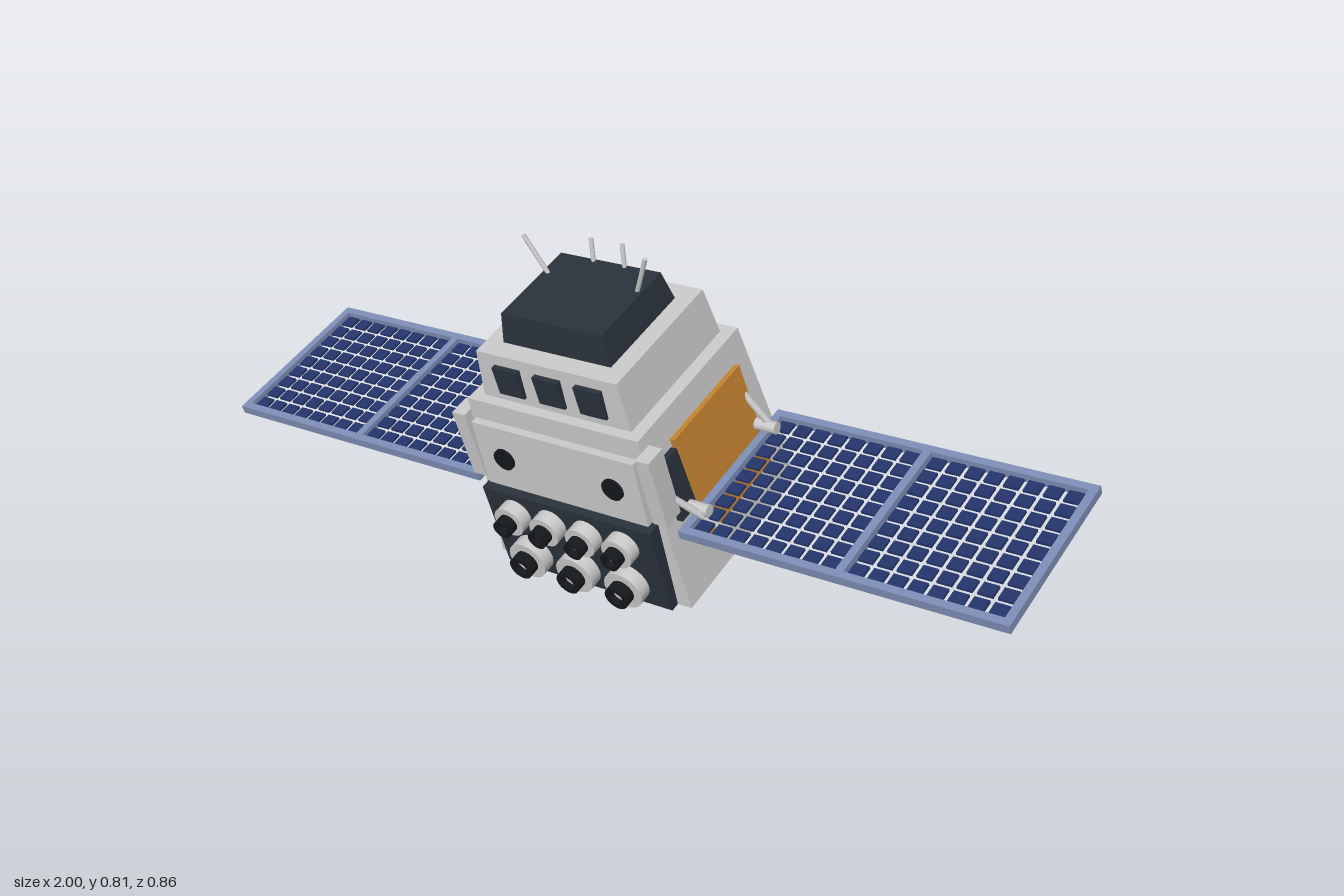
import * as THREE from 'three';
import { mergeGeometries } from 'three/addons/utils/BufferGeometryUtils.js';

const mat = (color, extra = {}) => new THREE.MeshStandardMaterial({ color, ...extra });
const GREY = mat(0xcccccc);
const DARK = mat(0x2a323c);
const BLACK = mat(0x15181c);
const ORANGE = mat(0xc88530);
const FRAME = mat(0x7f8fb8);
const CELL = mat(0x24356b);

function add(parent, name, geometry, material, x = 0, y = 0, z = 0) {
  const mesh = new THREE.Mesh(geometry, material);
  mesh.name = name;
  mesh.position.set(x, y, z);
  parent.add(mesh);
  return mesh;
}

const box = (w, h, d) => new THREE.BoxGeometry(w, h, d);

// Box standing on y = y0 whose top is smaller than its base (half sizes)
function frustum(bx, bz, tx, tz, y0, y1) {
  const g = box(2, y1 - y0, 2).translate(0, (y0 + y1) / 2, 0);
  const p = g.attributes.position;
  for (let i = 0; i < p.count; i++) {
    const top = p.getY(i) > (y0 + y1) / 2;
    p.setX(i, p.getX(i) * (top ? tx : bx));
    p.setZ(i, p.getZ(i) * (top ? tz : bz));
  }
  g.computeVertexNormals();
  return g;
}

// Round rod between two points
function rod(parent, name, a, b, r, material = GREY) {
  const from = new THREE.Vector3(...a), to = new THREE.Vector3(...b);
  const dir = to.clone().sub(from);
  const mesh = add(parent, name, new THREE.CylinderGeometry(r, r, dir.length(), 10), material);
  mesh.position.copy(from).add(to).multiplyScalar(0.5);
  mesh.quaternion.setFromUnitVectors(new THREE.Vector3(0, 1, 0), dir.normalize());
  return mesh;
}

// Camera-like sensor: pale collar, dark barrel and a recessed pale lens, pointing to +z
function sensor(parent, x, y, r) {
  const g = new THREE.Group();
  g.name = 'sensor';
  g.position.set(x, y, 0.235);
  parent.add(g);
  add(g, 'collar', new THREE.CylinderGeometry(r, r, 0.035, 20).rotateX(Math.PI / 2), GREY, 0, 0, 0.015);
  const k = r * 0.6;
  const profile = [[k, 0.03], [k, 0.058], [k * 0.65, 0.058], [k * 0.65, 0.04]].map(p => new THREE.Vector2(...p));
  // straight walls, shaded flat across each profile corner
  const barrel = new THREE.LatheGeometry(profile, 20).rotateX(Math.PI / 2).toNonIndexed();
  barrel.computeVertexNormals();
  add(g, 'barrel', barrel, mat(0x15181c, { side: THREE.DoubleSide }));
  add(g, 'lens', new THREE.CircleGeometry(k * 0.65, 20), GREY, 0, 0, 0.042);
}

// Framed wing with two bays of separate cells
function solarWing(parent, s) {
  const g = new THREE.Group();
  g.name = s > 0 ? 'leftSolarWing' : 'rightSolarWing';
  g.position.y = 0.2;
  parent.add(g);
  const x0 = 0.265, x1 = 1, half = 0.2, rail = 0.018, t = 0.02;
  const mid = (x0 + x1) / 2;
  for (const z of [-1, 1])
    add(g, 'longRail', box(x1 - x0, t, rail), FRAME, s * mid, 0, z * (half - rail / 2));
  for (const x of [x0 + rail / 2, mid, x1 - rail / 2])
    add(g, 'crossRail', box(rail, t, 2 * half - 2 * rail), FRAME, s * x, 0, 0);
  const cols = 8, rows = 9, gap = 0.01, cells = [];
  const bay = mid - x0 - 1.5 * rail;
  const px = bay / cols, pz = (2 * half - 2 * rail) / rows;
  for (const start of [x0 + rail, mid + rail / 2])
    for (let i = 0; i < cols; i++)
      for (let j = 0; j < rows; j++)
        cells.push(box(px - gap, 0.006, pz - gap)
          .translate(s * (start + (i + 0.5) * px), 0, -half + rail + (j + 0.5) * pz));
  add(g, 'solarCells', mergeGeometries(cells), CELL);
}

export function createModel() {
  const model = new THREE.Group();
  model.name = 'satellite';
  const craft = new THREE.Group();
  craft.name = 'craft';
  model.add(craft);

  // Stacked tapered body
  add(craft, 'mainBody', frustum(0.255, 0.215, 0.22, 0.19, 0, 0.428), GREY);
  add(craft, 'upperBody', frustum(0.19, 0.168, 0.18, 0.16, 0.428, 0.541), GREY);
  add(craft, 'topCap', frustum(0.138, 0.118, 0.128, 0.108, 0.541, 0.611), DARK);

  // Windows of the upper body
  for (const i of [-1, 0, 1])
    add(craft, 'window', box(0.066, 0.068, 0.02), DARK, i * 0.105, 0.482, 0.163);

  // Front plate with two round ports
  const plate = add(craft, 'frontPlate', box(0.42, 0.16, 0.03), GREY, -0.002, 0.3, 0.2);
  plate.rotation.x = -0.058;
  for (const s of [-1, 1])
    add(plate, 'port', new THREE.CylinderGeometry(0.026, 0.026, 0.014, 20).rotateX(Math.PI / 2),
      BLACK, s * 0.142, 0, 0.014);

  // Dark instrument panel with two rows of sensors
  add(craft, 'instrumentPanel', box(0.44, 0.217, 0.05), DARK, 0, 0.1085, 0.211);
  for (let i = 0; i < 4; i++) sensor(craft, (i - 1.5) * 0.095, 0.164, 0.037);
  for (let i = 0; i < 3; i++) sensor(craft, (i - 1) * 0.128, 0.055, 0.047);

  // Thrusters under the floor
  for (const i of [-1, 0, 1])
    add(craft, 'thruster', new THREE.CylinderGeometry(0.04, 0.04, 0.085, 20), GREY, i * 0.11, -0.034, -0.033);

  // Side equipment and wings
  for (const s of [-1, 1]) {
    const side = add(craft, 'sideRadiator', box(0.02, 0.26, 0.25), ORANGE, s * 0.238, 0.237, -0.02);
    side.rotation.z = s * 0.0816;
    const unit = add(craft, 'sideUnit', box(0.024, 0.15, 0.055), DARK, s * 0.235, 0.275, 0.137);
    unit.rotation.z = s * 0.0816;
    add(craft, 'cornerStrip', box(0.034, 0.17, 0.05), GREY, s * 0.238, 0.315, 0.19);
    rod(craft, 'frontStrut', [s * 0.235, 0.285, 0.175], [s * 0.31, 0.167, 0.122], 0.008);
    rod(craft, 'backStrut', [s * 0.235, 0.3, -0.137], [s * 0.31, 0.165, -0.148], 0.008);
    for (const z of [-0.14, 0.13])
      rod(craft, 'hinge', [s * 0.235, 0.215, z], [s * 0.3, 0.215, z], 0.014);
    solarWing(craft, s);
    // Antennas
    rod(craft, 'longAntenna', [s * 0.108, 0.595, -0.04], [s * 0.155, 0.695, -0.045], 0.005);
    rod(craft, 'shortAntenna', [s * 0.04, 0.595, -0.1], [s * 0.04, 0.66, -0.115], 0.005);
  }

  // Tilt of the whole craft
  const basis = new THREE.Matrix4().makeBasis(
    new THREE.Vector3(0.955, 0.185, 0.235),
    new THREE.Vector3(-0.212, 0.973, 0.095),
    new THREE.Vector3(-0.211, -0.14, 0.967));
  craft.quaternion.setFromRotationMatrix(basis).normalize();
  craft.position.set(0.04, 0.099, -0.0175);

  // Settle on the ground, centred
  model.updateMatrixWorld(true);
  const bounds = new THREE.Box3().setFromObject(model, true);
  const c = bounds.getCenter(new THREE.Vector3());
  craft.position.sub(new THREE.Vector3(c.x, bounds.min.y, c.z));
  return model;
}
